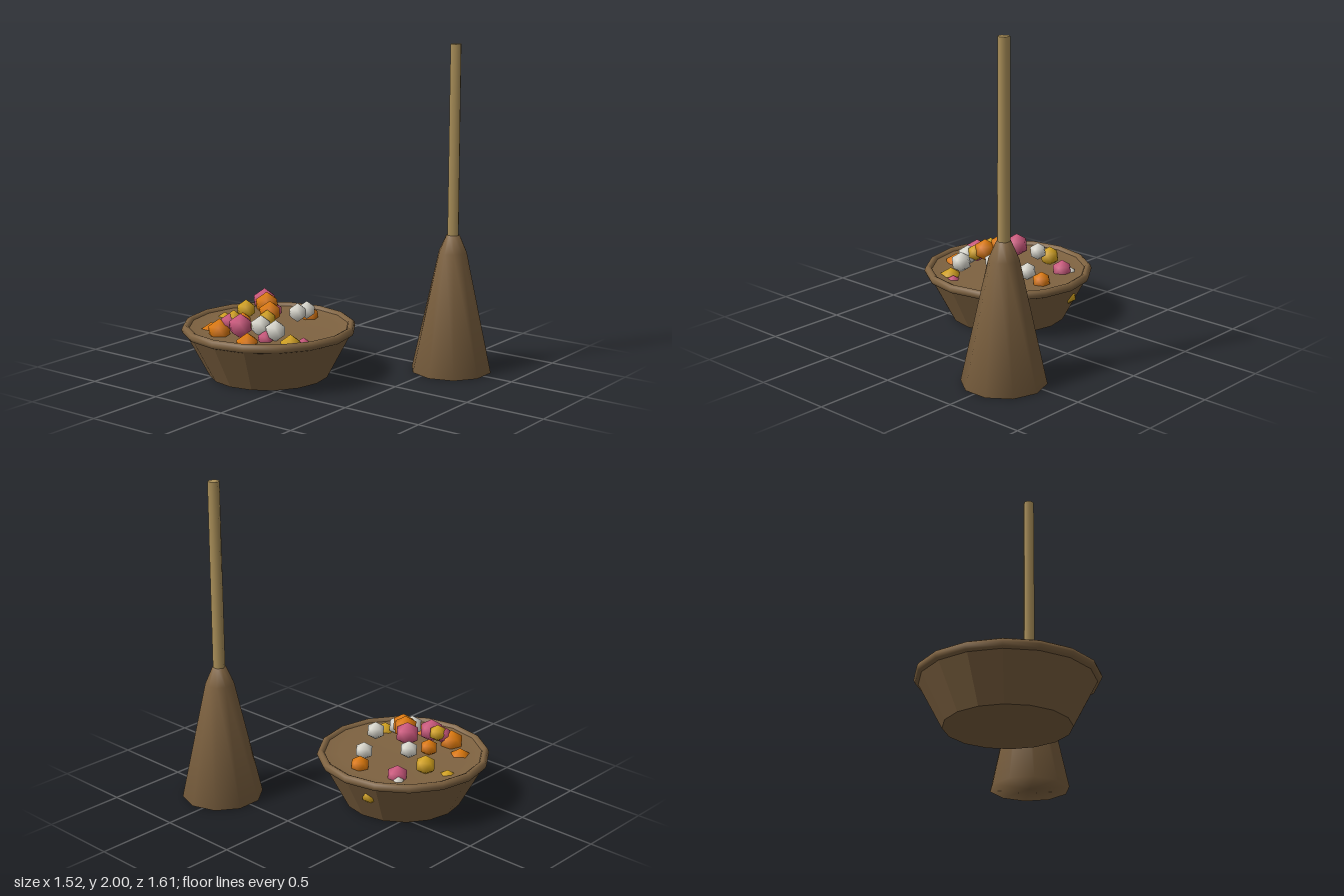
import * as THREE from 'three';

const mat = (name, color, flatShading = false) => {
  const m = new THREE.MeshStandardMaterial({ color, flatShading });
  m.name = name;
  return m;
};

const lathe = (name, pts, sides, material, phi = 0) => {
  const g = new THREE.LatheGeometry(pts.map(p => new THREE.Vector2(...p)), sides, phi);
  const mesh = new THREE.Mesh(g, material);
  mesh.name = name;
  return mesh;
};

// Smooth-shaded icosahedron standing on one corner
function ballGeometry() {
  const g = new THREE.IcosahedronGeometry(1, 0);
  g.rotateZ(Math.atan2(2, 1 + Math.sqrt(5)));
  g.rotateY(Math.PI);
  g.setAttribute('normal', g.attributes.position.clone());
  return g;
}

export function createModel() {
  const model = new THREE.Group();
  model.name = 'bowlAndBroom';
  const brown = mat('brown', 0x7f6341);
  const tan = mat('tan', 0xac915a);
  const orange = mat('orange', 0xe27c0c);
  const yellow = mat('yellow', 0xd8a61f);
  const pink = mat('pink', 0xd05a80);
  const white = mat('white', 0xdedcd2);

  // Bowl: faceted wall, rounded rim, shallow filling
  const bowl = new THREE.Group();
  bowl.name = 'bowl';
  bowl.position.set(-0.23, 0, -0.277);
  const wall = lathe('bowlWall', [[0.365, 0], [0.505, 0.265]], 16, brown);
  wall.geometry = wall.geometry.toNonIndexed();
  wall.geometry.computeVertexNormals();
  const base = new THREE.Mesh(new THREE.CircleGeometry(0.365, 16), brown);
  base.name = 'bowlBase';
  base.rotation.x = Math.PI / 2;
  bowl.add(
    wall, base,
    lathe('bowlRim', [[0.503, 0.262], [0.522, 0.27], [0.531, 0.29], [0.524, 0.31],
      [0.508, 0.32], [0.49, 0.312], [0.482, 0.295]], 16, brown),
    lathe('bowlFilling', [[0.484, 0.3], [0.4, 0.288], [0, 0.28]], 16, brown)
  );
  model.add(bowl);

  // Balls in the bowl: x, y, z, radius
  const balls = [
    ['orangeBall', orange, [
      [-0.46, 0.26, -0.54, 0.067], [-0.535, 0.31, -0.41, 0.075], [-0.335, 0.33, -0.395, 0.055],
      [-0.27, 0.445, -0.26, 0.075], [-0.34, 0.42, -0.18, 0.07], [-0.575, 0.275, -0.16, 0.072],
      [0.1, 0.305, -0.22, 0.06]]],
    ['yellowBall', yellow, [
      [-0.19, 0.26, -0.665, 0.055], [-0.12, 0.335, -0.55, 0.063], [-0.46, 0.375, -0.36, 0.055],
      [-0.395, 0.395, -0.155, 0.055], [-0.425, 0.27, 0.045, 0.068], [0.18, 0.185, -0.38, 0.055]]],
    ['pinkBall', pink, [
      [-0.205, 0.445, -0.33, 0.075], [-0.5, 0.355, -0.275, 0.075], [-0.49, 0.36, -0.37, 0.055],
      [0.05, 0.3, -0.475, 0.066], [-0.36, 0.268, 0.09, 0.045], [-0.48, 0.3, -0.1, 0.05]]],
    ['whiteBall', white, [
      [-0.11, 0.4, -0.425, 0.056], [0.02, 0.36, -0.18, 0.057], [-0.185, 0.4, -0.09, 0.058],
      [-0.46, 0.365, -0.15, 0.066], [-0.435, 0.345, -0.06, 0.066], [0.085, 0.28, -0.515, 0.036]]],
  ];
  const ballGeo = ballGeometry();
  for (const [name, material, list] of balls) {
    for (const [x, y, z, r] of list) {
      const ball = new THREE.Mesh(ballGeo, material);
      ball.name = name;
      ball.position.set(x, y, z);
      ball.scale.setScalar(r);
      model.add(ball);
    }
  }

  // Broom: ten-sided brush with a six-sided handle
  const broom = new THREE.Group();
  broom.name = 'broom';
  broom.position.set(0.506, 0, 0.567);
  const brush = lathe('brush', [[0, 0], [0.25, 0], [0.088, 0.74], [0.042, 0.845], [0, 0.845]],
    10, brown, Math.PI / 10);
  const handle = new THREE.Mesh(new THREE.CylinderGeometry(0.036, 0.038, 1.2, 6), tan);
  handle.name = 'handle';
  handle.position.y = 1.4;
  broom.add(brush, handle);
  model.add(broom);

  return model;
}
